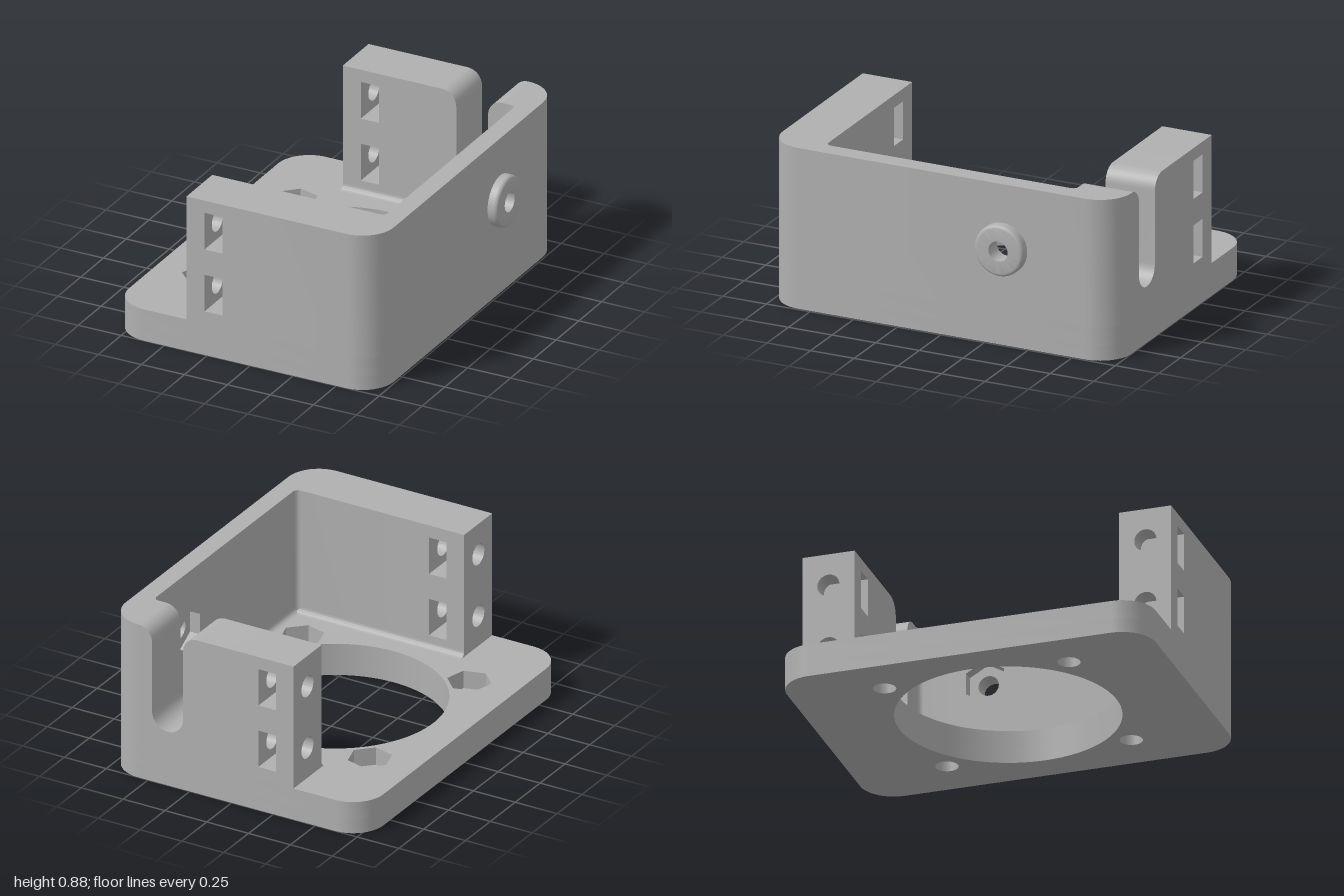
import * as THREE from 'three';
import { toCreasedNormals } from 'three/addons/utils/BufferGeometryUtils.js';

const FLOOR = 0.18, TOP = 0.885, LEFT = 0.74, INNER_X = 0.635, INNER_Z = 0.717, END = -0.37;
const WIN = [-0.265, -0.16], BORE_END = 0, CORNER = 0.18;
const BORES = [0.355, 0.71];

// Polygon from [x, y, radius] corners; right-angled corners may be rounded
function outline(corners) {
  const n = corners.length, pts = [];
  corners.forEach(([x, y, r], i) => {
    const p = new THREE.Vector2(x, y);
    if (!r) return pts.push(p);
    const dir = (c) => new THREE.Vector2(c[0], c[1]).sub(p).normalize();
    const u = dir(corners[(i + n - 1) % n]), v = dir(corners[(i + 1) % n]);
    for (let k = 0; k <= 10; k++) {
      const t = (k / 10) * Math.PI / 2;
      pts.push(p.clone().addScaledVector(u, r * (1 - Math.sin(t))).addScaledVector(v, r * (1 - Math.cos(t))));
    }
  });
  return new THREE.Shape(pts);
}

const rect = (x0, x1, y0, y1, r = 0) => outline([[x0, y0, r], [x1, y0, r], [x1, y1, r], [x0, y1, r]]);

function circle(x, y, r) {
  return new THREE.Path().absarc(x, y, r, 0, Math.PI * 2, false);
}

function hexagon(x, y, r, turn) {
  const pts = [];
  for (let k = 0; k < 6; k++) {
    const a = turn + k * Math.PI / 3;
    pts.push(new THREE.Vector2(x + r * Math.cos(a), y + r * Math.sin(a)));
  }
  return new THREE.Path(pts);
}

function extrude(shape, depth, holes = []) {
  shape.holes.push(...holes);
  return new THREE.ExtrudeGeometry(shape, { depth, bevelEnabled: false, curveSegments: 64 });
}

// Plan shapes use y = -z and rise upward; side shapes use x = -z and run along +x
const upward = (shape, y, h, holes) => extrude(shape, h, holes).rotateX(-Math.PI / 2).translate(0, y, 0);
const alongX = (shape, x, len, holes) => extrude(shape, len, holes).rotateY(Math.PI / 2).translate(x, 0, 0);

export function createModel() {
  const group = new THREE.Group();
  const grey = new THREE.MeshStandardMaterial({ color: 0xb0b0b0 });
  grey.name = 'grey plastic';
  const add = (name, geometry) => {
    const mesh = new THREE.Mesh(toCreasedNormals(geometry, 0.5), grey);
    mesh.name = name;
    group.add(mesh);
  };

  // Base plate: round screw holes below, hexagonal nut pockets above
  const screws = [], pockets = [];
  for (const x of [-0.53, 0.47]) for (const y of [-0.5, 0.5]) {
    screws.push(circle(x, y, 0.06));
    pockets.push(hexagon(x, y, 0.118, Math.PI / 4 * (x * y < 0 ? 1 : -1)));
  }
  const plate = () => rect(-0.8, LEFT, -1, 1, CORNER);
  const opening = () => circle(-0.025, 0, 0.587);
  add('basePlateLower', upward(plate(), 0, 0.08, [opening(), ...screws]));
  add('basePlateUpper', upward(plate(), 0.08, FLOOR - 0.08, [opening(), ...pockets]));

  // Wall ends: bored slabs on both sides of two nut windows
  for (const s of [-1, 1]) {
    const u0 = s > 0 ? INNER_Z : -1, u1 = s > 0 ? 1 : -INNER_Z;
    const side = s > 0 ? 'back' : 'front';
    const bores = () => BORES.map((y) => circle(s * 0.86, y, 0.06));
    add(side + 'WallEnd', alongX(rect(u0, u1, FLOOR, TOP), END, WIN[0] - END, bores()));
    add(side + 'WallBored', alongX(rect(u0, u1, FLOOR, TOP), WIN[1], BORE_END - WIN[1], bores()));
    for (const [y0, y1] of [[FLOOR, 0.25], [0.46, 0.605], [0.815, TOP]])
      add(side + 'WindowBar', alongX(rect(u0, u1, y0, y1), WIN[0], WIN[1] - WIN[0]));
  }

  // L-shaped wall runs around the two rounded corners
  const cornerRun = (s, x0, uEnd) => upward(outline([
    [x0, s], [LEFT, s, CORNER], [LEFT, uEnd], [INNER_X, uEnd],
    [INNER_X, s * INNER_Z, 0.03], [x0, s * INNER_Z],
  ]), FLOOR, TOP - FLOOR);
  add('frontWallAndCorner', cornerRun(-1, BORE_END, 0.15));
  add('backCorner', cornerRun(1, 0.56, 0.55));

  // Back wall with a round-bottomed slot and rounded lips
  const lip = 0.084, round = 0.092;
  add('slottedBackWall', extrude(outline([
    [BORE_END, FLOOR], [0.56, FLOOR], [0.56, TOP], [0.475, TOP, lip],
    [0.475, 0.31, round], [0.29, 0.31, round], [0.29, TOP, lip], [BORE_END, TOP],
  ]), 1 - INNER_Z).translate(0, 0, -1));

  // Side wall section with inner nut pocket, screw hole and outer boss
  const bossU = 0.35, bossY = 0.533, hole = 0.055, pocketEnd = 0.695;
  const section = () => rect(0.15, 0.55, FLOOR, TOP);
  add('sideWallPocket', alongX(section(), INNER_X, pocketEnd - INNER_X, [hexagon(bossU, bossY, 0.118, Math.PI / 6)]));
  add('sideWallHole', alongX(section(), pocketEnd, LEFT - pocketEnd, [circle(bossU, bossY, hole)]));
  const profile = [new THREE.Vector2(0.14, 0)];
  for (let k = 0; k <= 6; k++) {
    const a = (k / 6) * Math.PI / 2;
    profile.push(new THREE.Vector2(0.12 + 0.02 * Math.cos(a), 0.035 + 0.02 * Math.sin(a)));
  }
  profile.push(new THREE.Vector2(hole, 0.055), new THREE.Vector2(hole, 0));
  add('screwBoss', new THREE.LatheGeometry(profile, 64).rotateZ(-Math.PI / 2).translate(LEFT, bossY, -bossU));

  // Concave fillets where the walls meet the floor
  const fillet = (len, turn, x, z) => {
    const r = 0.03, shape = new THREE.Shape();
    shape.moveTo(0, 0).lineTo(r, 0).absarc(r, r, r, -Math.PI / 2, -Math.PI, true);
    shape.lineTo(0, 0);
    return new THREE.ExtrudeGeometry(shape, { depth: len, bevelEnabled: false, curveSegments: 8 })
      .rotateY(turn).translate(x, FLOOR, z);
  };
  add('frontFillet', fillet(INNER_X - END, Math.PI / 2, END, INNER_Z));
  add('backFillet', fillet(INNER_X - END, -Math.PI / 2, INNER_X, -INNER_Z));
  add('sideFillet', fillet(2 * INNER_Z, Math.PI, INNER_X, INNER_Z));

  return group;
}
